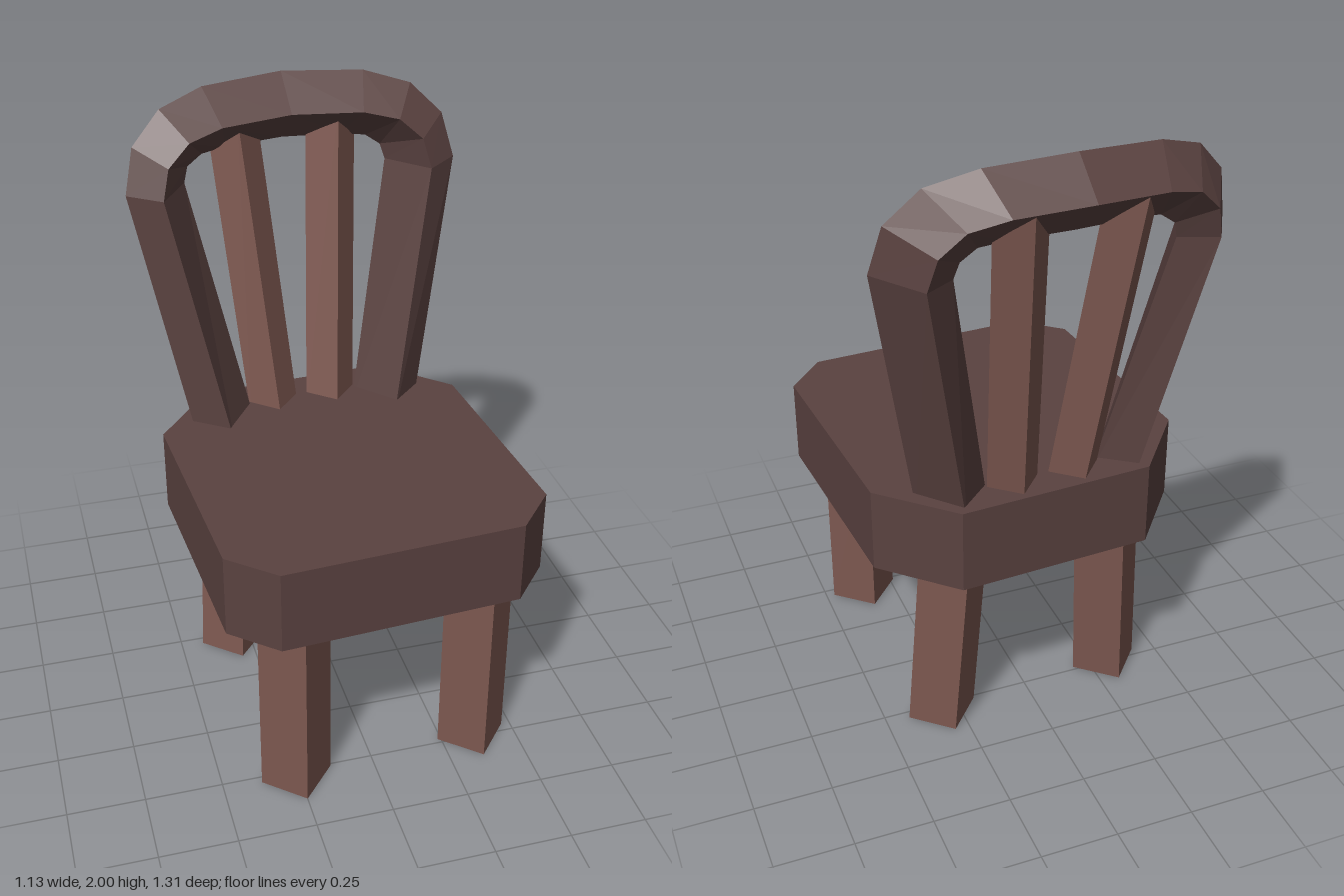
import * as THREE from 'three';

const darkWood = new THREE.MeshStandardMaterial({ color: 0x5a4240, flatShading: true });
const lightWood = new THREE.MeshStandardMaterial({ color: 0x7d5850, flatShading: true });

// Faceted solid through matching cross-sections, closed at both ends.
// Corners run counterclockwise about the direction of travel.
function loft(name, sections, material) {
  const pos = [];
  const tri = (...pts) => pts.forEach((p) => pos.push(...p));
  const n = sections[0].length;
  for (let i = 0; i + 1 < sections.length; i++) {
    const s = sections[i], t = sections[i + 1];
    for (let j = 0; j < n; j++) {
      const k = (j + 1) % n;
      tri(s[j], s[k], t[k]);
      tri(s[j], t[k], t[j]);
    }
  }
  const first = sections[0], last = sections[sections.length - 1];
  for (let j = 1; j + 1 < n; j++) {
    tri(first[0], first[j + 1], first[j]);
    tri(last[0], last[j], last[j + 1]);
  }
  const geo = new THREE.BufferGeometry();
  geo.setAttribute('position', new THREE.Float32BufferAttribute(pos, 3));
  geo.computeVertexNormals();
  const mesh = new THREE.Mesh(geo, material);
  mesh.name = name;
  return mesh;
}

// Horizontal diamond section around a centre
const diamond = (x, y, z, r) => [[x, y, z + r], [x + r, y, z], [x, y, z - r], [x - r, y, z]];

// Leaning post with a diamond section
const post = (name, a, b, r) => loft(name, [diamond(...a, r), diamond(...b, r)], lightWood);

export function createModel() {
  const group = new THREE.Group();
  group.name = 'chair';
  const body = new THREE.Group();
  body.name = 'chairBody';
  body.rotation.y = 0.066;
  body.position.set(0.016, 0, 0);
  group.add(body);

  // Seat: a slab with cut corners
  const half = [[0.386, 0.63], [0.52, 0.495], [0.52, -0.245], [0.316, -0.47]];
  const outline = [...half, ...half.map(([x, z]) => [-x, z]).reverse()];
  body.add(loft('seat', [0.635, 0.91].map((y) => outline.map(([x, z]) => [x, y, z])), darkWood));

  // Legs and back spindles, mirrored
  for (const [s, side] of [[1, 'left'], [-1, 'right']]) {
    body.add(post(side + 'FrontLeg', [0.307 * s, 0, 0.497], [0.307 * s, 0.66, 0.497], 0.117));
    body.add(post(side + 'BackLeg', [0.307 * s, 0, -0.25], [0.272 * s, 0.66, -0.292], 0.117));
    body.add(post(side + 'Spindle', [0.1 * s, 0.85, -0.352], [0.169 * s, 1.88, -0.547], 0.085));
  }

  // Back hoop: outer x, y, inner x, y, centre z, forward skew of the outer corner
  const stations = [
    [0.393, 0.85, 0.178, 0.85, -0.315, 0.025],
    [0.555, 1.695, 0.345, 1.68, -0.45, 0.045],
    [0.52, 1.84, 0.33, 1.73, -0.47, 0.035],
    [0.42, 1.94, 0.28, 1.765, -0.49, 0.02],
    [0.27, 1.985, 0.2, 1.775, -0.517, 0.005],
    [0, 2.0, 0, 1.78, -0.54, 0],
  ];
  const section = (s) => ([ox, oy, ix, iy, z, skew]) => {
    const mx = s * (ox + ix) / 2, my = (oy + iy) / 2;
    return [
      [mx, my, z + 0.115],
      [s * ox, oy, z + skew],
      [mx, my, z - 0.115],
      [s * ix, iy, z - skew],
    ];
  };
  const hoop = [...stations.map(section(1)), ...stations.slice(0, -1).reverse().map(section(-1))];
  body.add(loft('backHoop', hoop, darkWood));

  return group;
}
